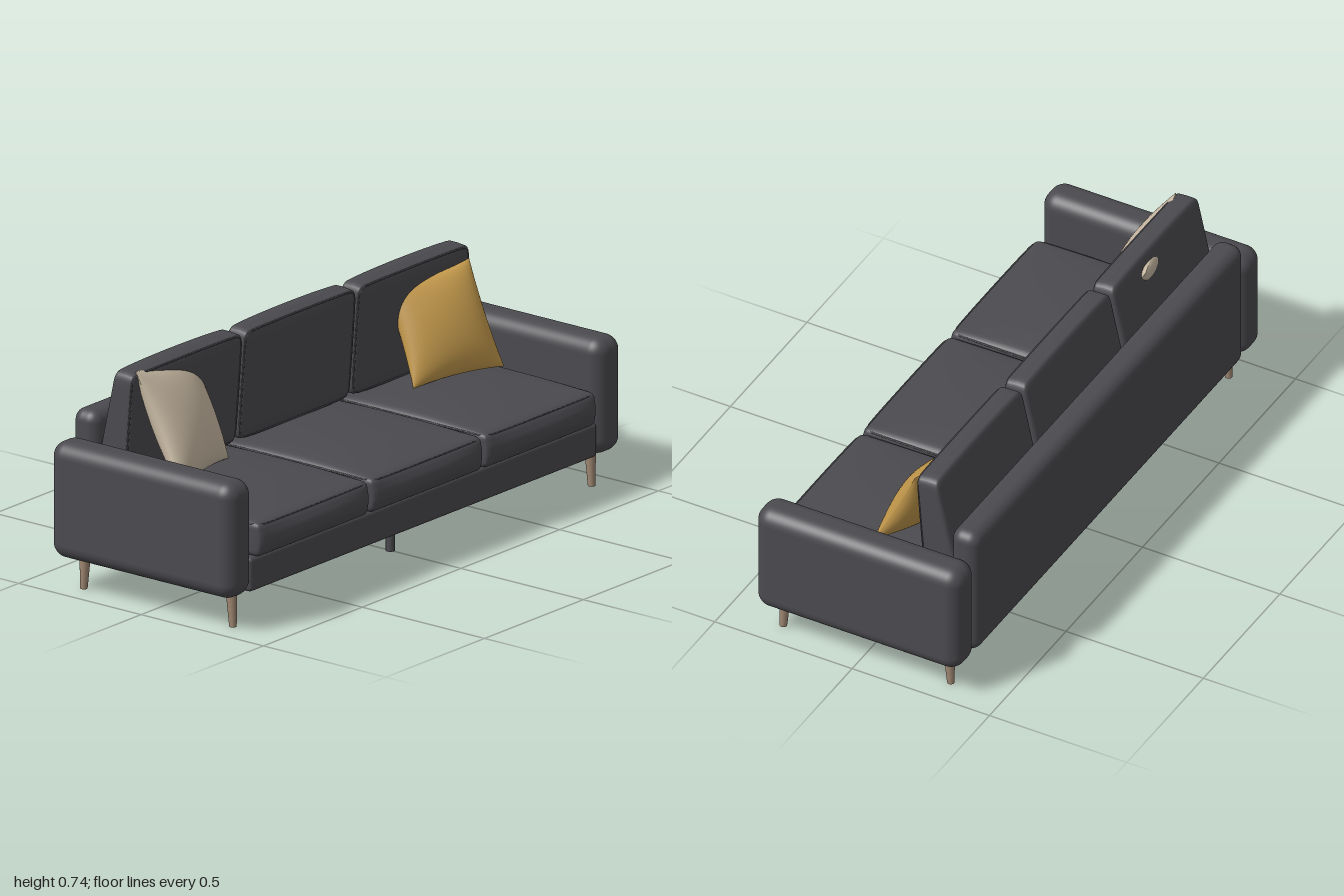
import * as THREE from 'three';
import { mergeVertices } from 'three/addons/utils/BufferGeometryUtils.js';
import { RoundedBoxGeometry } from 'three/addons/geometries/RoundedBoxGeometry.js';

const { lerp, clamp, smoothstep } = THREE.MathUtils;

// Apply a rule to every vertex, then smooth the result.
function moveVertices(geometry, rule) {
  geometry.deleteAttribute('uv');
  geometry.deleteAttribute('normal');
  const merged = mergeVertices(geometry, 1e-5);
  const pos = merged.attributes.position;
  const p = new THREE.Vector3();
  for (let i = 0; i < pos.count; i++) {
    rule(p.fromBufferAttribute(pos, i));
    pos.setXYZ(i, p.x, p.y, p.z);
  }
  merged.computeVertexNormals();
  return merged;
}

// Finely divided soft box, reshaped by a rule.
function softBox(w, h, d, r, shape) {
  const half = [w / 2, h / 2, d / 2];
  const inner = new THREE.Vector3();
  return moveVertices(new THREE.BoxGeometry(2, 2, 2, 24, 20, 20), (p) => {
    // crowd the divisions towards the edges, then round them off
    const q = p.toArray().map((c, i) => Math.sin((c * Math.PI) / 2) * half[i]);
    inner.set(...q.map((c, i) => clamp(c, r - half[i], half[i] - r)));
    p.set(...q).sub(inner).setLength(r).add(inner);
    shape(p);
  });
}

// Piping that follows a rounded rectangle, reshaped by the same rule as its cushion.
function piping(w, h, place, shape) {
  const r = 0.027, x = w / 2 - r, y = h / 2 - r, points = [];
  [[x, y, 0], [-x, y, 1], [-x, -y, 2], [x, -y, 3]].forEach(([cx, cy, quarter]) => {
    for (let k = 0; k <= 4; k++) {
      const a = (quarter + k / 4) * Math.PI / 2;
      const p = place(cx + r * Math.cos(a), cy + r * Math.sin(a));
      shape(p);
      points.push(p);
    }
  });
  const path = new THREE.CatmullRomCurve3(points, true, 'centripetal');
  return new THREE.TubeGeometry(path, 96, 0.003, 6, true);
}

// Throw pillow: two puffed sheets stretched between four corners.
function pillowSheet([tl, tr, bl, br], puff, side) {
  const [a, b, c, d] = [tl, tr, bl, br].map((v) => new THREE.Vector3(...v));
  const across = b.clone().add(d).sub(a).sub(c);
  const up = a.clone().add(b).sub(c).sub(d);
  const normal = across.cross(up).normalize();
  const top = new THREE.Vector3(), bottom = new THREE.Vector3();
  return moveVertices(new THREE.PlaneGeometry(2, 2, 24, 24), (p) => {
    const u = Math.sin(p.x * side * Math.PI / 2), v = Math.sin(p.y * Math.PI / 2);
    const eu = 1 - u * u, ev = 1 - v * v;
    const s = (u * (1 - 0.07 * ev) + 1) / 2, t = (v * (1 - 0.06 * eu) + 1) / 2;
    top.lerpVectors(a, b, s);
    bottom.lerpVectors(c, d, s);
    p.lerpVectors(bottom, top, t);
    p.addScaledVector(normal, side * puff * Math.pow(Math.max(0, eu * ev), 0.5));
  });
}

export function createModel() {
  const group = new THREE.Group();
  const material = (name, color) => {
    const m = new THREE.MeshStandardMaterial({ color });
    m.name = name;
    return m;
  };
  const fabric = material('charcoal fabric', 0x4b4a4f);
  const cream = material('cream linen', 0xc9baa4);
  const mustard = material('mustard linen', 0xc3994c);
  const wood = material('wood', 0xa08873);

  const add = (name, geometry, mat, x = 0, y = 0, z = 0, parent = group) => {
    const mesh = new THREE.Mesh(geometry, mat);
    mesh.name = name;
    mesh.position.set(x, y, z);
    parent.add(mesh);
    return mesh;
  };

  // Frame: base, backrest and arms
  add('base', new RoundedBoxGeometry(1.76, 0.115, 0.71, 4, 0.015), fabric, 0, 0.1715, -0.005);
  add('backrest', new RoundedBoxGeometry(1.76, 0.467, 0.1, 6, 0.04), fabric, 0, 0.3485, -0.335);
  for (const side of [1, -1]) {
    const label = side > 0 ? 'left' : 'right';
    add(label + 'Arm', new RoundedBoxGeometry(0.13, 0.39, 0.747, 8, 0.052), fabric, side * 0.935, 0.306, -0.0105);

    // Tapered wooden legs, splayed slightly outwards
    for (const end of [1, -1]) {
      const leg = new THREE.CylinderGeometry(0.019, 0.012, 0.125, 20);
      leg.applyMatrix4(new THREE.Matrix4().makeShear(0, 0, 0, -0.05 * end, 0, 0));
      add(label + (end > 0 ? 'FrontLeg' : 'BackLeg'), leg, wood, side * 0.908, 0.0625, end > 0 ? 0.298 : -0.305);
    }
  }
  add('centreSupport', new THREE.CylinderGeometry(0.015, 0.015, 0.125, 20), fabric, 0, 0.0625, 0.212);

  // Seat cushions: top rolling down to a full, bowed front
  const seatW = 0.562, seatH = 0.115, seatD = 0.65;
  const seatShape = (p) => {
    const ex = Math.max(0, 1 - (2 * p.x / seatW) ** 2);
    const ez = Math.max(0, 1 - (2 * p.z / seatD) ** 2);
    const ey = clamp(1.35 * (1 - Math.abs(2 * p.y / seatH)), 0, 1);
    const front = smoothstep(p.z, 0.2, seatD / 2);
    if (p.y > 0) p.y += 0.026 * Math.sqrt(ex) * Math.pow(ez, p.z > 0 ? 1 : 0.6);
    p.z += 0.023 * front * ey * Math.pow(ex, 0.4);
  };
  const seatGeometry = softBox(seatW, seatH, seatD, 0.02, seatShape);
  const seatPiping = piping(seatW - 0.01, seatD - 0.01,
    (x, z) => new THREE.Vector3(x, seatH / 2 - 0.007, z), seatShape);

  // Back cushions: wedges that lean against the backrest, drawn in deep and flattened
  const backW = 0.562, backH = 0.37, backD = 0.22;
  const backShape = (p) => {
    const t = p.y / backH + 0.5, f = p.z / backD + 0.5;
    const ex = Math.max(0, 1 - (2 * p.x / backW) ** 2);
    const ey = Math.max(0, 1 - (2 * p.y / backH) ** 2);
    p.z = lerp(lerp(-0.314, -0.228, t), lerp(-0.178, -0.152, t), f);
    if (f > 0.5) p.z += 0.008 * Math.sqrt(ex * ey);
    if (p.y > 0) p.y += 0.012 * Math.sqrt(ex) * t * clamp(2 * (1 - f), 0, 1);
  };
  const backGeometry = softBox(backW, backH, backD, 0.027, backShape);
  const backPiping = piping(backW - 0.01, backH - 0.01,
    (x, y) => new THREE.Vector3(x, y, backD / 2 - 0.011), backShape);

  ['right', 'middle', 'left'].forEach((label, i) => {
    const x = (i - 1) * 0.575;
    const seat = add(label + 'SeatCushion', seatGeometry, fabric, x, 0.2835, 0.037);
    add(label + 'SeatPiping', seatPiping, fabric, 0, 0, 0, seat);
    const back = add(label + 'BackCushion', backGeometry, fabric, x, 0.543, 0);
    add(label + 'BackPiping', backPiping, fabric, 0, 0, 0, back);
  });

  // Throw pillows; the inner top corners sink into the back cushions
  const pillow = (name, mat, corners, puff) => {
    const g = new THREE.Group();
    g.name = name;
    add(name + 'Front', pillowSheet(corners, puff, 1), mat, 0, 0, 0, g);
    add(name + 'Back', pillowSheet(corners, puff, -1), mat, 0, 0, 0, g);
    group.add(g);
  };
  pillow('creamPillow', cream, [
    [-0.83, 0.737, -0.16], [-0.456, 0.703, -0.258],
    [-0.82, 0.376, 0.012], [-0.445, 0.362, -0.09]], 0.07);
  pillow('mustardPillow', mustard, [
    [0.495, 0.66, -0.21], [0.822, 0.695, -0.13],
    [0.465, 0.362, -0.07], [0.797, 0.373, 0.033]], 0.067);

  return group;
}
